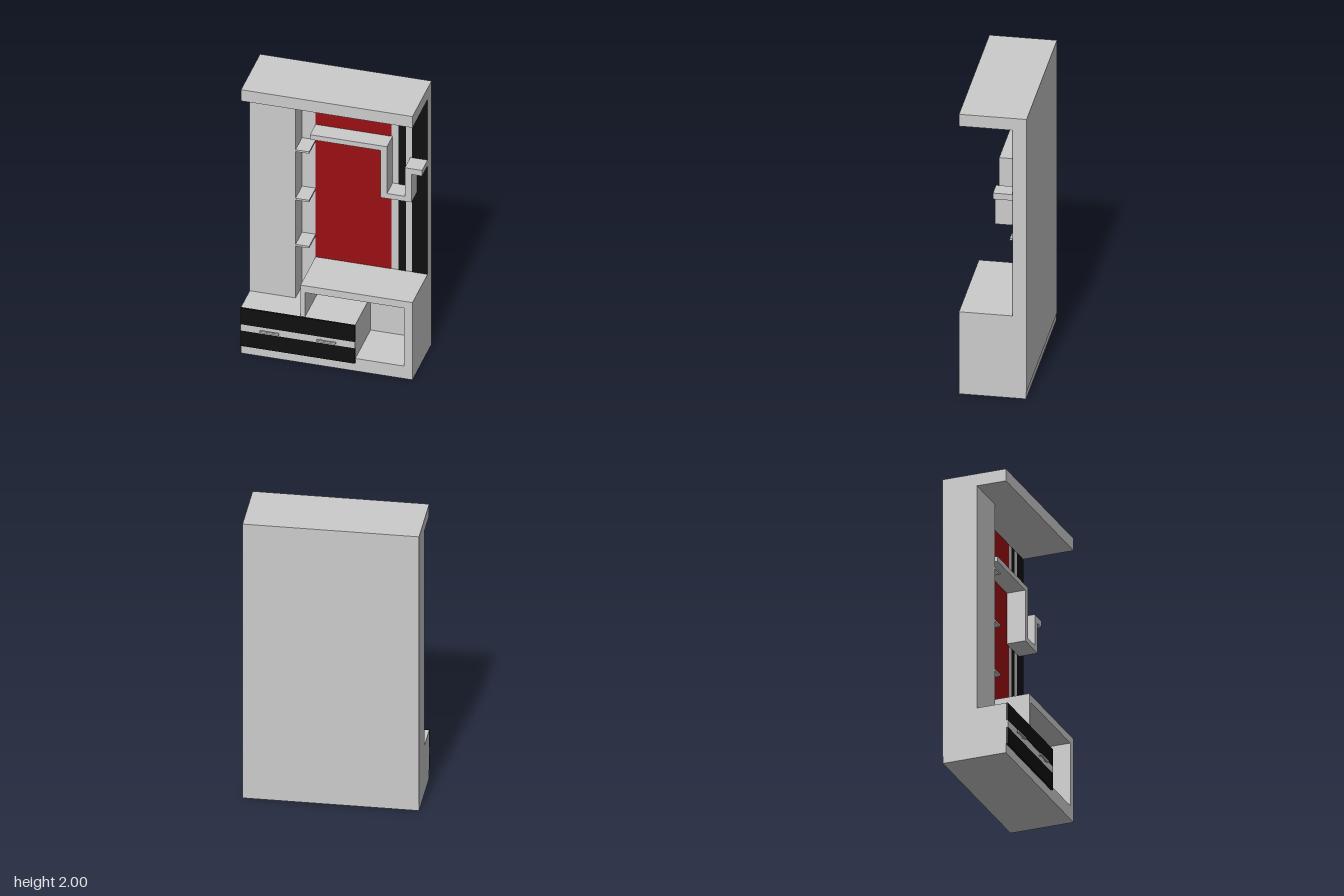
import * as THREE from 'three';

const grey = new THREE.MeshStandardMaterial({ color: 0xcccccc });
const red = new THREE.MeshStandardMaterial({ color: 0x990f14 });
const black = new THREE.MeshStandardMaterial({ color: 0x0f0f0f });

const BACK = -0.235, WALL = -0.15, FRONT = 0.2, HALF = 0.57;

export function createModel() {
  const model = new THREE.Group();
  model.name = 'wallUnit';

  const add = (name, geometry, material = grey) => {
    const mesh = new THREE.Mesh(geometry, material);
    mesh.name = name;
    model.add(mesh);
    return mesh;
  };
  // Box given by its limits on each axis
  const box = (name, [x0, x1], [y0, y1], [z0, z1], material) => {
    const mesh = add(name, new THREE.BoxGeometry(x1 - x0, y1 - y0, z1 - z0), material);
    mesh.position.set((x0 + x1) / 2, (y0 + y1) / 2, (z0 + z1) / 2);
    return mesh;
  };
  // Outline in x and y, extruded from z0 to z1
  const slab = (name, outline, z0, z1, hole) => {
    const toPoints = (list) => list.map(([x, y]) => new THREE.Vector2(x, y));
    const shape = new THREE.Shape(toPoints(outline));
    if (hole) shape.holes.push(new THREE.Path(toPoints(hole)));
    const geometry = new THREE.ExtrudeGeometry(shape, { depth: z1 - z0, bevelEnabled: false });
    add(name, geometry).position.z = z0;
  };
  const rect = (x0, x1, y0, y1) => [[x0, y0], [x1, y0], [x1, y1], [x0, y1]];

  // Carcass: back wall, thin back board, overhanging canopy, side column
  box('backWall', [-HALF, HALF], [0, 1.915], [BACK, WALL]);
  box('backBoard', [-HALF, HALF], [0.05, 2], [BACK - 0.003, BACK]);
  box('canopy', [-HALF, HALF], [1.915, 2], [BACK, FRONT]);
  box('sideColumn', [-HALF, -0.265], [0.35, 1.915], [WALL, 0]);

  // Small shelves beside the column
  for (const y of [0.75, 1.1, 1.468]) {
    box('smallShelf', [-0.265, -0.175], [y - 0.007, y + 0.007], [WALL, 0]);
  }

  // Coloured wall panels
  const panelZ = [WALL, WALL + 0.003];
  box('redPanel', [-0.175, 0.33], [0.585, 1.915], panelZ, red);
  box('narrowBlackStripe', [0.375, 0.425], [0.585, 1.915], panelZ, black);
  box('wideBlackStripe', [0.468, HALF], [0.585, 1.915], panelZ, black);

  // Stepped shelf
  slab('steppedShelf', [
    [-0.175, 1.557], [0.295, 1.557], [0.295, 1.2], [0.5, 1.2], [0.5, 1.412], [HALF, 1.412],
    [HALF, 1.455], [0.455, 1.455], [0.455, 1.238], [0.337, 1.238], [0.337, 1.593], [-0.175, 1.593],
  ], WALL, -0.02);

  // Open bench and the low cabinet running into it
  slab('benchFrame', rect(-0.175, HALF, 0, 0.587), WALL, FRONT, rect(-0.145, 0.515, 0.095, 0.535));
  box('cabinetOuter', [-HALF, -0.175], [0, 0.35], [WALL, FRONT]);
  box('cabinetInner', [-0.145, 0.19], [0.095, 0.35], [WALL, FRONT]);

  // Drawer fronts with a grey band between
  const faceX = [-HALF, 0.19], faceZ = [FRONT, 0.213];
  box('lowerDrawerFront', faceX, [0.063, 0.18], faceZ, black);
  box('middleBand', faceX, [0.18, 0.227], faceZ);
  box('upperDrawerFront', faceX, [0.227, 0.35], faceZ, black);

  // Bar handles on two posts
  for (const x of [-0.373, 0.005]) {
    box('handleBar', [x - 0.063, x + 0.063], [0.199, 0.211], [0.224, 0.235]);
    for (const side of [-1, 1]) {
      const post = add('handlePost', new THREE.CylinderGeometry(0.004, 0.004, 0.014, 12));
      post.rotation.x = Math.PI / 2;
      post.position.set(x + side * 0.043, 0.205, 0.219);
    }
  }
  return model;
}
